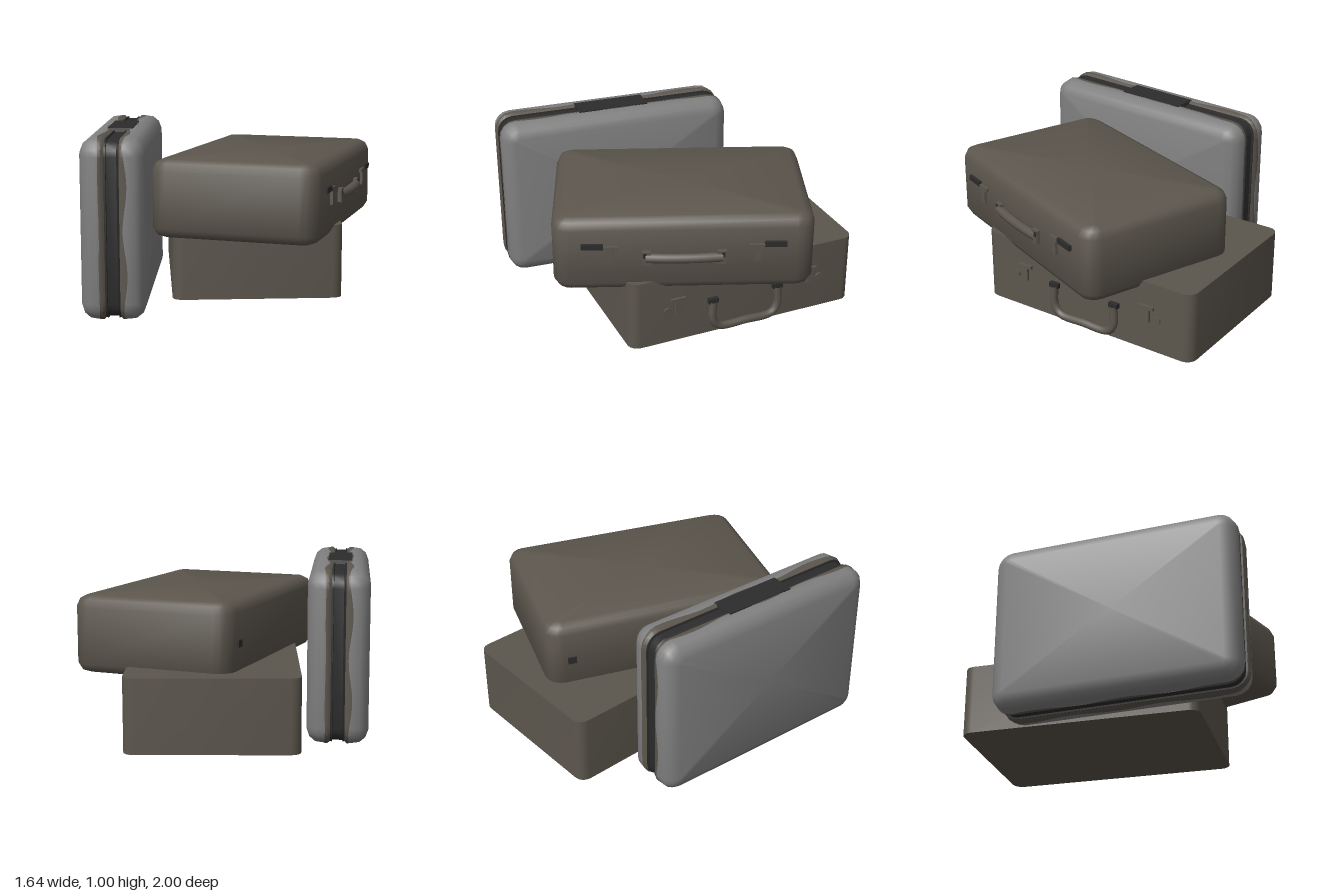
import * as THREE from 'three';
import { toCreasedNormals } from 'three/addons/utils/BufferGeometryUtils.js';

const brown = new THREE.MeshStandardMaterial({ color: 0x5c564d });
brown.name = 'brown leather';
const trim = new THREE.MeshStandardMaterial({ color: 0x5c564d, side: THREE.DoubleSide });
trim.name = 'brown worn trim';
const grey = new THREE.MeshStandardMaterial({ color: 0x808080 });
grey.name = 'grey shell';
const dark = new THREE.MeshStandardMaterial({ color: 0x2c2c2c });
dark.name = 'dark fittings';

const rad = THREE.MathUtils.degToRad;

// Points of a rounded rectangle, counter-clockwise, with subdivided straight sides
function roundedLoop(w, h, r, inset, sub) {
  const k = 4, pts = [];
  const rr = Math.max(r - inset, 0.01);
  const cx = w / 2 - inset - rr, cy = h / 2 - inset - rr;
  [[1, 1], [-1, 1], [-1, -1], [1, -1]].forEach(([sx, sy], q) => {
    for (let i = 0; i <= k; i++) {
      const a = (q + i / k) * Math.PI / 2;
      pts.push([sx * cx + rr * Math.cos(a), sy * cy + rr * Math.sin(a)]);
    }
  });
  const out = [];
  pts.forEach((p, i) => {
    const n = pts[(i + 1) % pts.length];
    const steps = i % (k + 1) === k ? sub : 1;
    for (let s = 0; s < steps; s++) {
      out.push([p[0] + (n[0] - p[0]) * s / steps, p[1] + (n[1] - p[1]) * s / steps]);
    }
  });
  return out;
}

// Stack rounded rectangles along z; levels are [offset or rule(x, y), inset]
function loft(w, h, r, levels, { sub = 1, caps = true } = {}) {
  const pos = [], idx = [];
  let n = 0;
  for (const [t, inset] of levels) {
    const loop = roundedLoop(w, h, r, inset, sub);
    n = loop.length;
    for (const [x, y] of loop) pos.push(x, y, typeof t === 'function' ? t(x, y) : t);
  }
  for (let l = 0; l < levels.length - 1; l++) {
    for (let i = 0; i < n; i++) {
      const a = l * n + i, b = l * n + (i + 1) % n;
      idx.push(a, b, b + n, a, b + n, a + n);
    }
  }
  if (caps) {
    const last = levels.length - 1, c = pos.length / 3;
    pos.push(0, 0, levels[0][0], 0, 0, levels[last][0]);
    for (let i = 0; i < n; i++) {
      const j = (i + 1) % n;
      idx.push(c, j, i, c + 1, last * n + i, last * n + j);
    }
  }
  const g = new THREE.BufferGeometry();
  g.setAttribute('position', new THREE.Float32BufferAttribute(pos, 3));
  g.setIndex(idx);
  return toCreasedNormals(g, 0.75);
}

function add(parent, name, geometry, material, x = 0, y = 0, z = 0) {
  const m = new THREE.Mesh(geometry, material);
  m.name = name;
  m.position.set(x, y, z);
  parent.add(m);
  return m;
}

const box = (x, y, z) => new THREE.BoxGeometry(x, y, z);

function placed(name, x, z, degrees) {
  const g = new THREE.Group();
  g.name = name;
  g.position.set(x, 0, z);
  g.rotation.y = rad(degrees);
  return g;
}

// T-shaped latch on the +x side
function latch(parent, x, top, z) {
  add(parent, 'latchBar', box(0.02, 0.022, 0.09), brown, x, top - 0.011, z);
  add(parent, 'latchTongue', box(0.02, 0.08, 0.036), brown, x, top - 0.06, z);
}

function lowerCase() {
  const g = placed('lowerCase', 0.105, -0.22, 13.5);
  const body = loft(0.965, 1.41, 0.06, [[0.04, 0], [0.46, 0]]).rotateX(-Math.PI / 2);
  add(g, 'lowerBody', body, brown);
  const side = 0.4825;

  // Drooping carry handle
  const path = new THREE.CatmullRomCurve3(
    [[-0.205, 0.25], [-0.205, 0.13], [-0.165, 0.08], [0, 0.075], [0.165, 0.08], [0.205, 0.13], [0.205, 0.25]]
      .map(([z, y]) => new THREE.Vector3(side + 0.015, y, z)), false, 'centripetal');
  add(g, 'lowerHandle', new THREE.TubeGeometry(path, 40, 0.024, 8), brown);

  for (const s of [-1, 1]) {
    add(g, 'handleMount', box(0.03, 0.03, 0.06), dark, side + 0.01, 0.255, s * 0.205);
    latch(g, side + 0.005, 0.32, s * 0.42);
    const lock = new THREE.CylinderGeometry(0.022, 0.022, 0.012, 16).rotateZ(Math.PI / 2);
    add(g, 'roundLock', lock, brown, side + 0.004, 0.245, s * 0.485);
  }
  return g;
}

function upperCase() {
  const g = placed('upperCase', 0.25, -0.015, -8);
  const body = loft(0.965, 1.44, 0.1, [
    [0.4, 0.07], [0.415, 0.025], [0.455, 0], [0.78, 0], [0.822, 0.02], [0.842, 0.06],
  ]).rotateX(-Math.PI / 2);
  add(g, 'upperBody', body, brown);
  const side = 0.4825;

  // Strap handle bowed slightly outward
  const path = new THREE.CatmullRomCurve3([-0.21, -0.1, 0, 0.1, 0.21].map(
    (z) => new THREE.Vector3(side + 0.022 - 0.25 * z * z, 0.617, z)));
  const strap = new THREE.TubeGeometry(path, 16, 0.028, 8);
  add(g, 'upperHandle', strap, brown);

  for (const s of [-1, 1]) {
    add(g, 'handleMount', box(0.03, 0.08, 0.05), brown, side + 0.008, 0.617, s * 0.205);
    add(g, 'mountPin', box(0.036, 0.03, 0.02), dark, side + 0.008, 0.635, s * 0.215);
    latch(g, side + 0.005, 0.69, s * 0.4);
    add(g, 'latchPlate', box(0.026, 0.03, 0.12), dark, side + 0.005, 0.69, s * 0.5);
    add(g, 'hinge', box(0.016, 0.04, 0.05), dark, -side - 0.002, 0.61, s * 0.58);
  }
  return g;
}

function uprightCase() {
  const g = placed('uprightCase', -0.55, 0.275, 8.8);
  const L = 1.425, H = 0.995, R = 0.1, mid = H / 2;
  const turn = Math.PI / 2;

  // Half shell with rounded rim, seam lip and uneven worn edging
  const shell = loft(L, H, R, [
    [0.02, 0.022], [0.035, 0.02], [0.055, 0.002], [0.085, 0.002], [0.125, 0.008],
    [0.158, 0.035], [0.175, 0.08],
  ]).rotateY(turn);
  const wave = (x, y) => 0.07 + 0.012 * Math.sin(x * 12 + 1) * Math.cos(y * 13);
  const edging = loft(L, H, R, [[0.034, 0.017], [0.054, -0.001], [wave, -0.001]],
    { sub: 28, caps: false }).rotateY(turn);
  for (const s of [0, 1]) {
    add(g, 'halfShell', shell, grey, 0, mid, 0).rotation.y = s * Math.PI;
    add(g, 'wornEdging', edging, trim, 0, mid, 0).rotation.y = s * Math.PI;
  }

  // Dark seam with a raised centre rib
  const seam = loft(L, H, R, [
    [-0.042, 0.012], [-0.03, 0.008], [-0.028, 0.018], [0.028, 0.018], [0.03, 0.008], [0.042, 0.012],
  ]).rotateY(turn);
  add(g, 'seamBand', seam, dark, 0, mid, 0);

  // Top handle with sloping ends
  const profile = new THREE.Shape([[-0.225, 0], [0.225, 0], [0.215, 0.05], [-0.215, 0.05]]
    .map(([x, y]) => new THREE.Vector2(x, y)));
  const grip = new THREE.ExtrudeGeometry(profile, { depth: 0.14, bevelEnabled: false })
    .translate(0, 0, -0.07).rotateY(turn);
  add(g, 'topHandle', grip, dark, 0, 0.95, 0);
  return g;
}

export function createModel() {
  const model = new THREE.Group();
  model.name = 'suitcases';
  model.add(lowerCase(), upperCase(), uprightCase());
  return model;
}
